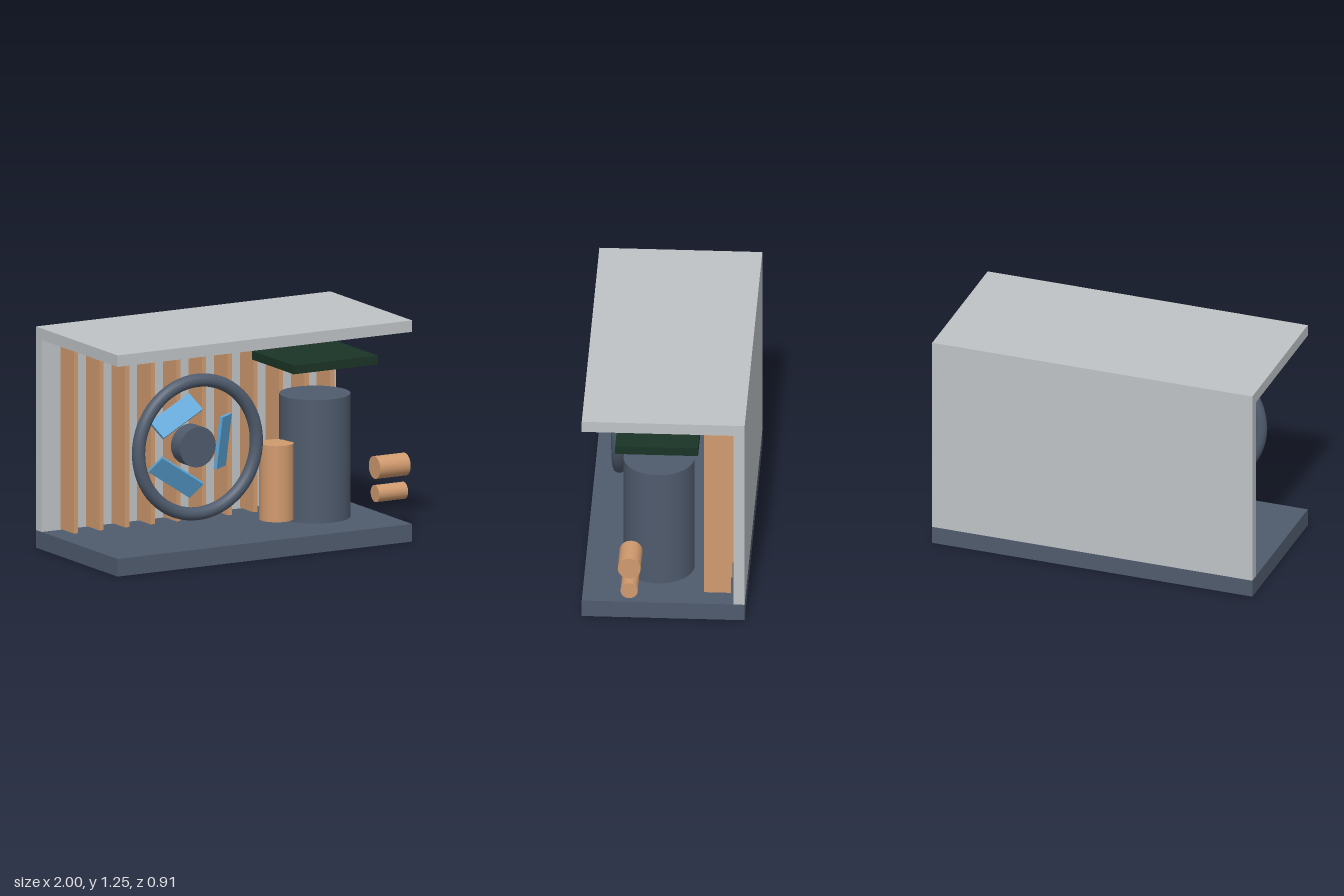
import * as THREE from 'three';

const mat = (name, color) => Object.assign(new THREE.MeshStandardMaterial({ color }), { name });

export function createModel() {
  const slate = mat('slate', 0x4f5b6d);
  const silver = mat('silver', 0xbfc3c6);
  const copper = mat('copper', 0xd09a6e);
  const blue = mat('blue', 0x5ba6d9);
  const green = mat('darkGreen', 0x1b3326);

  const model = new THREE.Group();
  model.name = 'outdoorCoolingUnit';

  const add = (name, geometry, material, x, y, z, parent = model) => {
    const mesh = new THREE.Mesh(geometry, material);
    mesh.name = name;
    mesh.position.set(x, y, z);
    parent.add(mesh);
    return mesh;
  };
  // Box given by its lower and upper bounds on each axis
  const box = (name, material, [x0, x1], [y0, y1], [z0, z1]) =>
    add(name, new THREE.BoxGeometry(x1 - x0, y1 - y0, z1 - z0), material,
      (x0 + x1) / 2, (y0 + y1) / 2, (z0 + z1) / 2);
  const cylinder = (radius, length) => new THREE.CylinderGeometry(radius, radius, length, 40);

  // Casing: base, back panel and roof
  const width = [-1, 0.89];
  box('base', slate, width, [0, 0.1], [-0.453, 0.453]);
  box('backPanel', silver, width, [0.1, 1.19], [-0.453, -0.39]);
  box('roof', silver, width, [1.19, 1.255], [-0.453, 0.453]);

  // Row of heat exchanger fins
  for (let i = 0; i < 11; i++) {
    const x = -0.877 + i * 0.1645;
    box('fin', copper, [x - 0.0135, x + 0.0135], [0.11, 1.145], [-0.371, -0.221]);
  }

  // Fan: ring, hub and three pitched blades
  const fan = new THREE.Group();
  fan.name = 'fan';
  fan.position.set(-0.399, 0.645, 0);
  model.add(fan);
  add('fanRing', new THREE.TorusGeometry(0.378, 0.037, 20, 64), slate, 0, 0, 0.3, fan);
  add('fanHub', cylinder(0.115, 0.1).rotateX(Math.PI / 2), slate, 0, 0, 0.255, fan);
  for (let i = 0; i < 3; i++) {
    const arm = new THREE.Group();
    arm.name = 'fanArm';
    arm.rotation.z = (i * Math.PI * 2) / 3;
    fan.add(arm);
    const blade = add('fanBlade', new THREE.BoxGeometry(0.12, 0.3, 0.02), blue, 0.2, 0, 0.234, arm);
    blade.rotation.set(0.125, 0.61, 0, 'YXZ');
  }

  // Compressor and its accumulator
  add('compressor', cylinder(0.198, 0.7), slate, 0.503, 0.46, 0.043);
  add('accumulator', cylinder(0.096, 0.432), copper, 0.23, 0.348, 0.088);

  // Pipe connections on the left side
  add('largePipe', cylinder(0.064, 0.195).rotateZ(Math.PI / 2), copper, 0.9025, 0.38, 0.183);
  add('smallPipe', cylinder(0.048, 0.185).rotateZ(Math.PI / 2), copper, 0.8995, 0.232, 0.184);

  // Control board with a plate beneath it
  box('controlBoard', green, [0.235, 0.776], [0.985, 1.034], [-0.188, 0.273]);
  box('boardPlate', slate, [0.5, 0.725], [0.981, 0.986], [0, 0.19]);

  return model;
}
